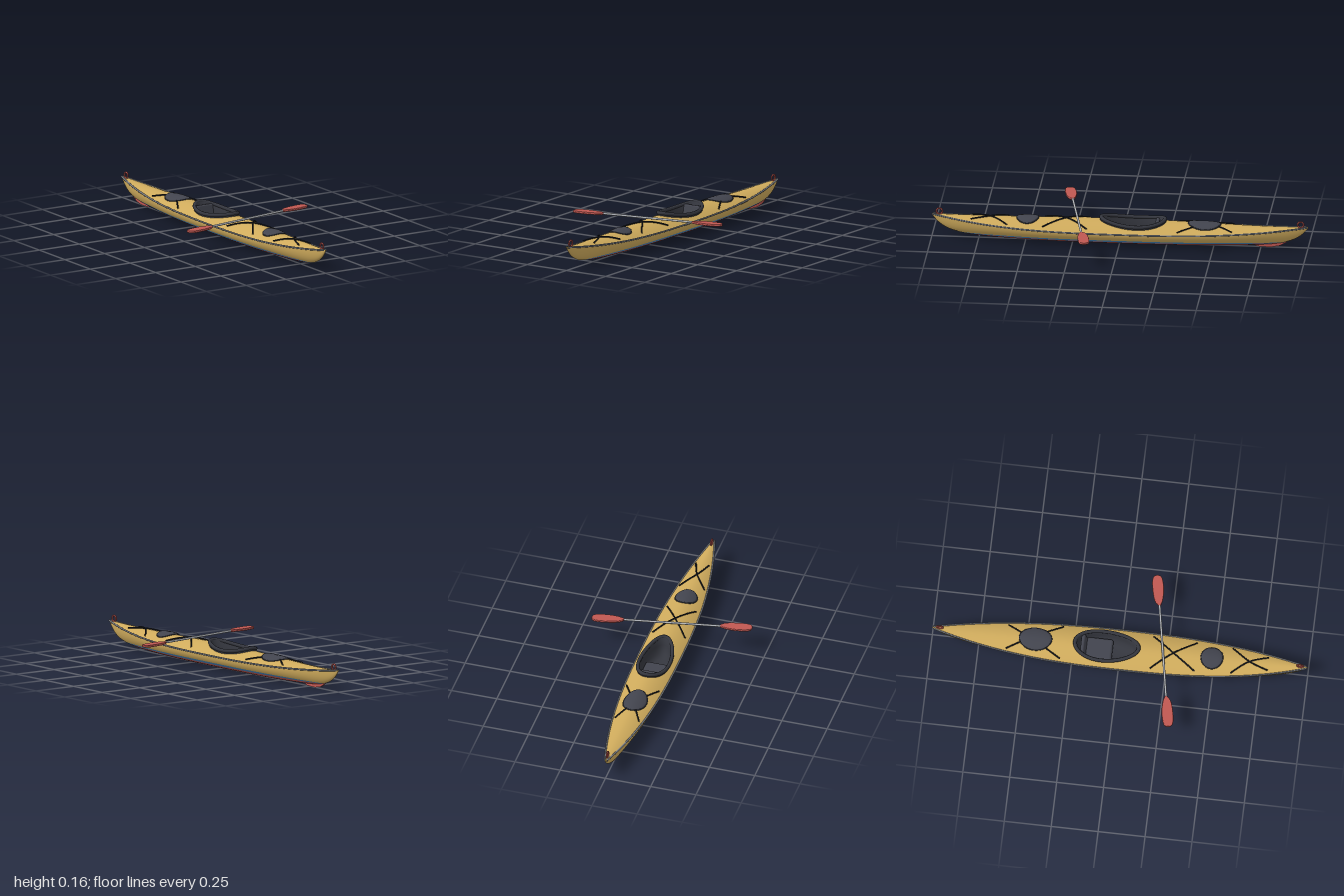
import * as THREE from 'three';
import { mergeVertices } from 'three/addons/utils/BufferGeometryUtils.js';
import { RoundedBoxGeometry } from 'three/addons/geometries/RoundedBoxGeometry.js';

const mat = (name, color) => {
  const m = new THREE.MeshStandardMaterial({ color, side: THREE.DoubleSide });
  m.name = name;
  return m;
};

// Hull lines as functions of the station z
const halfBeam = z => 0.003 + 0.109 * (1 - Math.abs(z) ** (z > 0 ? 2.6 : 2.4));
const gunwale = z => 0.08 + (z > 0 ? 0.046 : 0.036) * Math.abs(z) ** 3;
const keel = z => {
  const a = Math.abs(z);
  return 0.002 + (z > 0 ? 1 : 0.9) * (0.03 * a ** 3 + 0.09 * a ** 16);
};
const deckY = (x, z) => {
  const t = Math.min(1, Math.abs(x) / halfBeam(z));
  const crown = 0.046 * Math.max(0, 1 - z * z) ** (z > 0 ? 1 : 1.4);
  return gunwale(z) + crown * (1 - t ** 1.8);
};

// Cockpit outline, slightly wider toward the back
const CZ = -0.07, CL = 0.17, CW = 0.081;
const cockpitHalf = z => {
  const u = (z - CZ) / CL;
  return Math.abs(u) >= 1 ? 0 : CW * Math.sqrt(1 - u * u) * (1 - 0.12 * u);
};
const cockpitPoint = (a, s = 1) => {
  const u = Math.cos(a);
  return [s * CW * Math.sin(a) * (1 - 0.12 * u), CZ + s * CL * u];
};

// Smooth surface from a grid of points; pick(j) gives a material index or -1 to leave a gap
function surface(rows, cols, point, pick = () => 0) {
  const pos = [], idx = [];
  const geo = new THREE.BufferGeometry();
  for (let i = 0; i < rows; i++) for (let j = 0; j < cols; j++) pos.push(...point(i, j));
  for (let j = 0; j < cols - 1; j++) {
    const m = pick(j);
    if (m < 0) continue;
    geo.addGroup(idx.length, (rows - 1) * 6, m);
    for (let i = 0; i < rows - 1; i++) {
      const a = i * cols + j, b = a + cols;
      idx.push(a, b, a + 1, b, b + 1, a + 1);
    }
  }
  geo.setAttribute('position', new THREE.Float32BufferAttribute(pos, 3));
  geo.setIndex(idx);
  const out = mergeVertices(geo, 1e-5);
  out.computeVertexNormals();
  return out;
}

export function createModel() {
  const kayak = new THREE.Group();
  kayak.name = 'kayak';
  const yellow = mat('hullYellow', 0xcfab5c), red = mat('red', 0xc05852), blue = mat('stripeBlue', 0x4585bd);
  const dark = mat('coamingDark', 0x34363e), hatchGrey = mat('hatchGrey', 0x42444e);
  const black = mat('cordBlack', 0x1b1d22), trimGrey = mat('trimGrey', 0x7b7f86), silver = mat('shaftSilver', 0xb2b5ba);
  const add = (name, geo, material, parent = kayak) => {
    const m = new THREE.Mesh(geo, material);
    m.name = name;
    parent.add(m);
    return m;
  };
  const tube = (pts, r, n, closed = false) => new THREE.TubeGeometry(
    new THREE.CatmullRomCurve3(pts.map(p => new THREE.Vector3(...p)), closed), n, r, 8, closed);

  // Lower hull: red bottom, blue waterline, yellow topsides
  const stations = [];
  for (let i = 0; i <= 80; i++) stations.push(Math.sin((i / 80 - 0.5) * Math.PI));
  const level = (z, q) => {
    const k = keel(z), g = gunwale(z);
    const a = Math.min(g, Math.max(k, 0.028));
    const b = Math.min(g, Math.max(k, 0.029 + 0.011 * (1 - z * z)));
    if (q <= 5) return k + (a - k) * (q / 5) ** 2;
    if (q <= 7) return a + (b - a) * (q - 5) / 2;
    return b + (g - b) * ((q - 7) / 7) ** 1.3;
  };
  const hull = surface(stations.length, 29, (i, j) => {
    const z = stations[i], q = Math.abs(j - 14), y = level(z, q);
    const s = Math.min(1, (y - keel(z)) / Math.max(1e-4, gunwale(z) - keel(z)));
    return [Math.sign(j - 14) * halfBeam(z) * Math.sqrt(Math.max(0, 1 - (1 - s) ** 2)), y, z];
  }, j => {
    const q = Math.min(Math.abs(j - 14), Math.abs(j - 13));
    return q < 5 ? 0 : q < 7 ? 1 : 2;
  });
  add('hull', hull, [red, blue, yellow]);

  // Deck with the cockpit opening
  const deckZ = [...stations];
  for (let i = 0; i <= 40; i++) deckZ.push(CZ + CL * Math.cos(i / 40 * Math.PI));
  deckZ.sort((a, b) => a - b);
  add('deck', surface(deckZ.length, 18, (i, j) => {
    const z = deckZ[i], w = halfBeam(z), hole = cockpitHalf(z);
    const f = j < 9 ? 1 - j / 8 : (j - 9) / 8;
    const x = (j < 9 ? -1 : 1) * (hole + (w - hole) * f);
    return [x, deckY(x, z), z];
  }, j => (j === 8 ? -1 : 0)), yellow);

  // Gunwale trim on both sides
  for (const s of [-1, 1]) {
    const pts = [];
    for (let i = 0; i <= 40; i++) {
      const z = 0.995 * Math.sin((i / 40 - 0.5) * Math.PI);
      pts.push([s * (halfBeam(z) + 0.001), gunwale(z), z]);
    }
    add(s > 0 ? 'leftTrim' : 'rightTrim', tube(pts, 0.005, 120), trimGrey);
  }

  // Cockpit well and raised rim
  const well = [[1.04, -0.005], [1.03, 0.015], [0.93, 0.013], [0.9, -0.03], [0.82, 0.05], [0.6, 0.032], [0, 0.03]];
  add('cockpitWell', surface(well.length, 49, (i, j) => {
    const [s, h] = well[i];
    const a = j / 48 * Math.PI * 2, [x, z] = cockpitPoint(a, s);
    return [x, i < 4 ? deckY(x, z) + h : h, z];
  }), dark);
  const rim = [];
  for (let i = 0; i < 40; i++) {
    const [x, z] = cockpitPoint(i / 40 * Math.PI * 2);
    rim.push([x, deckY(x, z) + 0.014, z]);
  }
  add('cockpitRim', tube(rim, 0.01, 96, true), dark);

  // Seat and backrest
  add('seat', new RoundedBoxGeometry(0.122, 0.03, 0.15, 3, 0.014), hatchGrey).position.set(0, 0.055, -0.115);
  const back = add('backrest', new RoundedBoxGeometry(0.11, 0.07, 0.02, 3, 0.009), hatchGrey);
  back.position.set(0, 0.092, -0.193);
  back.rotation.x = -0.2;

  // Hatch lids draped on the deck
  const lid = [[0, 0.012], [0.5, 0.012], [0.85, 0.01], [0.96, 0.008], [1, 0.004], [1, -0.005]];
  for (const [name, cz, rx, rz] of [['frontHatch', 0.49, 0.059, 0.058], ['rearHatch', -0.45, 0.062, 0.086]]) {
    add(name, surface(lid.length, 41, (i, j) => {
      const [r, h] = lid[i], a = j / 40 * Math.PI * 2;
      const x = r * rx * Math.sin(a), z = cz + r * rz * Math.cos(a);
      return [x, deckY(x, z) + h, z];
    }), hatchGrey);
    const edge = [];
    for (let i = 0; i < 32; i++) {
      const a = i / 32 * Math.PI * 2, x = rx * Math.sin(a), z = cz + rz * Math.cos(a);
      edge.push([x, deckY(x, z) + 0.003, z]);
    }
    add(name + 'Edge', tube(edge, 0.003, 64, true), dark);
  }

  // Crossed deck cords, each mirrored
  const cords = [
    [[-0.09, 0.17], [0, 0.285], [0.08, 0.405]],
    [[-0.07, 0.595], [0, 0.69], [0.036, 0.79]],
    [[-0.066, -0.6], [0.015, -0.45], [0.09, -0.31]],
  ];
  for (const cord of cords) for (const s of [-1, 1]) {
    const path = new THREE.SplineCurve(cord.map(p => new THREE.Vector2(...p)));
    const pts = path.getPoints(16).map(p => [s * p.x, deckY(p.x, p.y) + 0.004, p.y]);
    add('deckCord', tube(pts, 0.004, 32), black);
  }

  // Carry loops at bow and stern
  for (const [name, z, y] of [['bowLoop', 0.96, 0.14], ['sternLoop', -0.96, 0.129]]) {
    const loop = add(name, new THREE.TorusGeometry(0.016, 0.0045, 8, 24), red);
    loop.rotation.y = Math.PI / 2;
    loop.position.set(0, y, z);
  }

  // Skeg under the stern
  const fin = new THREE.Shape([[-0.7, 0.02], [-0.73, 0.003], [-0.8, 0], [-0.85, 0.01], [-0.885, 0.03], [-0.8, 0.03]]
    .map(p => new THREE.Vector2(...p)));
  const skeg = new THREE.ExtrudeGeometry(fin, { depth: 0.01, bevelEnabled: false });
  skeg.translate(0, 0, -0.005).rotateY(-Math.PI / 2);
  add('skeg', skeg, red);

  // Paddle lying across the front deck
  const paddle = new THREE.Group();
  paddle.name = 'paddle';
  paddle.position.set(0, 0.138, 0.228);
  paddle.rotation.y = 0.182;
  kayak.add(paddle);
  add('paddleShaft', new THREE.CylinderGeometry(0.006, 0.006, 0.6, 12).rotateZ(Math.PI / 2), silver, paddle);
  const outline = new THREE.SplineCurve([[0.258, -0.004], [0.285, -0.021], [0.34, -0.028], [0.4, -0.026], [0.423, -0.012],
    [0.42, 0.014], [0.395, 0.024], [0.34, 0.026], [0.285, 0.016], [0.258, 0.004]].map(p => new THREE.Vector2(...p)));
  const blade = new THREE.ExtrudeGeometry(new THREE.Shape(outline.getPoints(48)),
    { depth: 0.004, bevelThickness: 0.004, bevelSize: 0.003, bevelSegments: 3 });
  blade.translate(0, 0, -0.002).rotateX(Math.PI / 2);
  add('leftBlade', blade, red, paddle);
  add('rightBlade', blade, red, paddle).rotation.y = Math.PI;

  return kayak;
}
